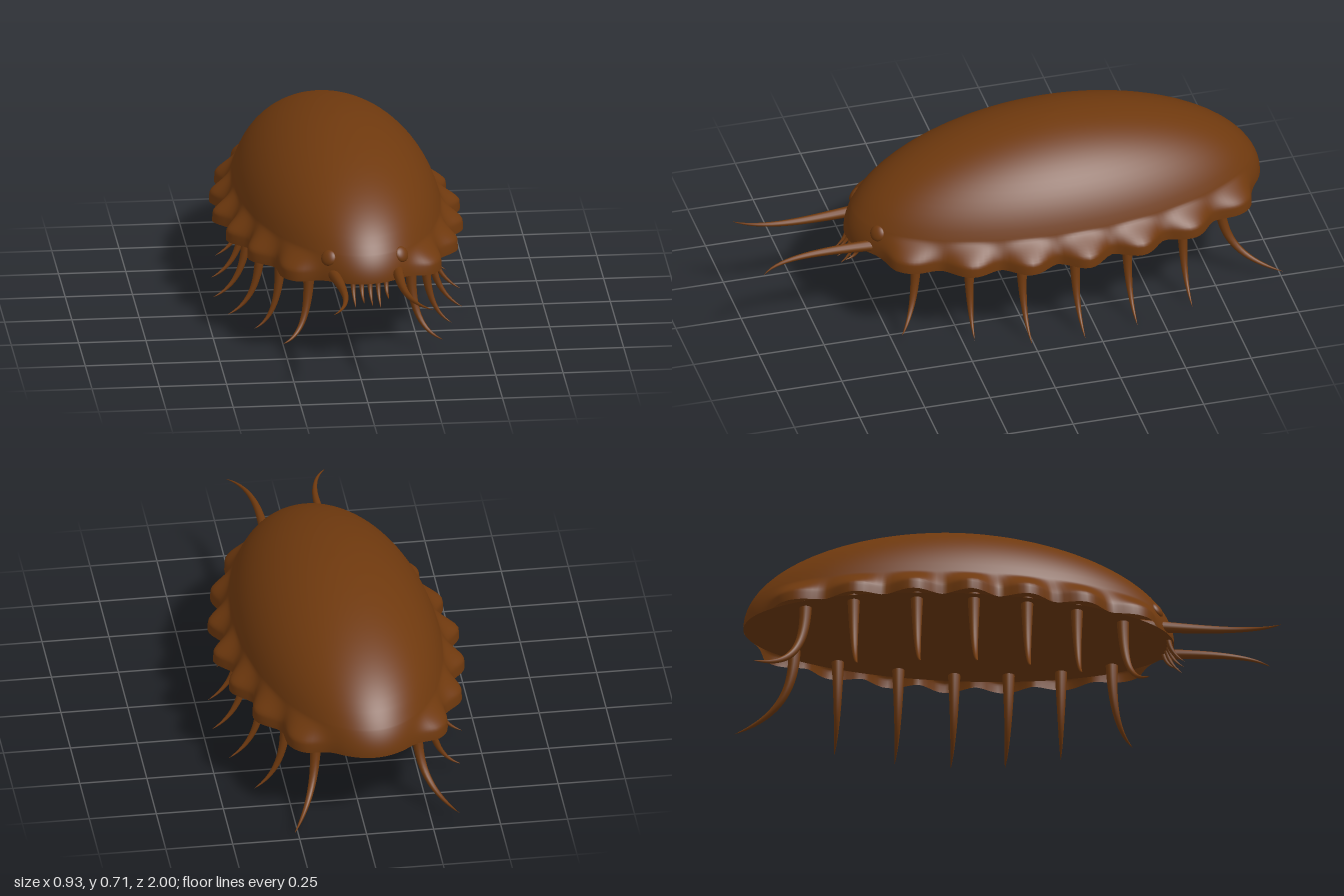
import * as THREE from 'three';

const V = (x, y, z) => new THREE.Vector3(x, y, z);
const BASE = 0.325, A = 0.385, H = 0.385, B = 0.8; // rim height and dome radii
const mat = new THREE.MeshStandardMaterial({ color: 0x6f390e });
const openMat = new THREE.MeshStandardMaterial({ color: 0x6f390e, side: THREE.DoubleSide });

function add(parent, geo, name, material = mat) {
  const mesh = new THREE.Mesh(geo, material);
  mesh.name = name;
  parent.add(mesh);
  return mesh;
}

// Tapering round spike along a smooth curve
function spike(curve, radius, power = 0.75, segs = 22, sides = 12) {
  const geo = new THREE.TubeGeometry(curve, segs, radius, sides, false);
  const p = geo.attributes.position;
  for (let i = 0; i <= segs; i++) {
    const c = curve.getPointAt(i / segs);
    const k = Math.pow(1 - i / segs, power);
    for (let j = 0; j <= sides; j++) {
      const n = i * (sides + 1) + j;
      const v = V(0, 0, 0).fromBufferAttribute(p, n).sub(c).multiplyScalar(k).add(c);
      p.setXYZ(n, v.x, v.y, v.z);
    }
  }
  return geo;
}

// Half-ellipsoid dome whose rim swells into seven hollow lobes on each side
function shellGeometry() {
  const N = 240, LOW = 16, HIGH = 18, rows = LOW + HIGH;
  const pos = [], idx = [];
  for (let i = 0; i <= rows; i++) {
    const a = i <= LOW ? 0.27 * i / LOW : 0.27 + (Math.PI / 2 - 0.27) * (i - LOW) / HIGH;
    const h = H * Math.sin(a);
    const swell = 1 - THREE.MathUtils.smoothstep(h, 0.035, 0.095);
    const taper = Math.pow(Math.cos(a), 1.06);
    for (let j = 0; j < N; j++) {
      const f = j / N * Math.PI * 2;
      const x = A * Math.sin(f), z = B * Math.cos(f);
      const sides = 1 - THREE.MathUtils.smoothstep(Math.abs(z), 0.66, 0.75);
      const wave = Math.pow(0.5 + 0.5 * Math.cos(2 * Math.PI * z / 0.21), 0.8);
      const lobe = sides * wave * (1 - 0.55 * Math.abs(z));
      const out = V(x / (A * A), 0, z / (B * B)).normalize()
        .multiplyScalar(swell * (0.018 * sides + 0.06 * lobe));
      pos.push(x * Math.cos(a) + out.x, BASE + h - 0.014 * sides * swell, z * taper + out.z);
    }
  }
  for (let i = 0; i < rows; i++) {
    for (let j = 0; j < N; j++) {
      const k = (j + 1) % N, p = i * N, q = p + N;
      idx.push(p + j, p + k, q + j, p + k, q + k, q + j);
    }
  }
  const geo = new THREE.BufferGeometry();
  geo.setAttribute('position', new THREE.Float32BufferAttribute(pos, 3));
  geo.setIndex(idx);
  geo.computeVertexNormals();
  return geo;
}

export function createModel() {
  const model = new THREE.Group();
  model.name = 'armouredCrawler';
  const body = new THREE.Group();
  body.name = 'body';
  body.position.z = -0.19;
  body.rotation.y = 0.05;
  model.add(body);

  add(body, shellGeometry(), 'shell', openMat);
  const belly = add(body, new THREE.CircleGeometry(1, 96), 'belly');
  belly.scale.set(A, B, 1);
  belly.rotation.x = Math.PI / 2;
  belly.position.y = BASE;

  // root x, root z, tip x, tip y, tip z
  const legs = [
    [0.19, 0.59, 0.30, 0.055, 0.68],
    [0.27, 0.41, 0.37, 0.025, 0.42],
    [0.315, 0.22, 0.44, 0.012, 0.22],
    [0.335, 0.02, 0.463, 0.01, 0.02],
    [0.315, -0.19, 0.44, 0.01, -0.19],
    [0.27, -0.42, 0.39, 0.012, -0.42],
    [0.19, -0.59, 0.31, 0.04, -0.80],
  ];
  for (const s of [1, -1]) {
    const side = s > 0 ? 'left' : 'right';
    legs.forEach(([x, z, tx, ty, tz], i) => {
      const curve = new THREE.CubicBezierCurve3(
        V(s * x, BASE + 0.02, z), V(s * x, 0.2, z),
        V(s * (x + 0.01), 0.07, z + (tz - z) * 0.15), V(s * tx, ty - s * 0.008, tz));
      add(body, spike(curve, 0.024), side + 'Leg' + (i + 1));
    });

    const antenna = new THREE.CubicBezierCurve3(
      V(s * 0.125, 0.347, 0.66), V(s * 0.115, 0.35, 0.85),
      V(s * 0.08, 0.355, 1.08), V(s * 0.187, 0.35, 1.18));
    add(body, spike(antenna, 0.024), side + 'Antenna');

    const eye = add(body, new THREE.SphereGeometry(0.03, 24, 16), side + 'Eye');
    eye.position.set(s * 0.136, 0.408, 0.722);
    eye.scale.set(1, 1, 0.5);
    eye.rotation.set(-0.45, s * 0.66, 0, 'YXZ');
  }

  // Row of small mouth feelers under the front rim
  [0.245, 0.262, 0.252, 0.24, 0.273].forEach((tip, i) => {
    const x = -0.053 + i * 0.031;
    const z = 0.78 - x * x * 2;
    const curve = new THREE.QuadraticBezierCurve3(
      V(x, BASE + 0.012, z), V(x, 0.275, z + 0.005), V(x + 0.003, tip, z + 0.06));
    add(body, spike(curve, 0.011, 0.75, 10, 8), 'mouthFeeler' + (i + 1));
  });
  return model;
}
